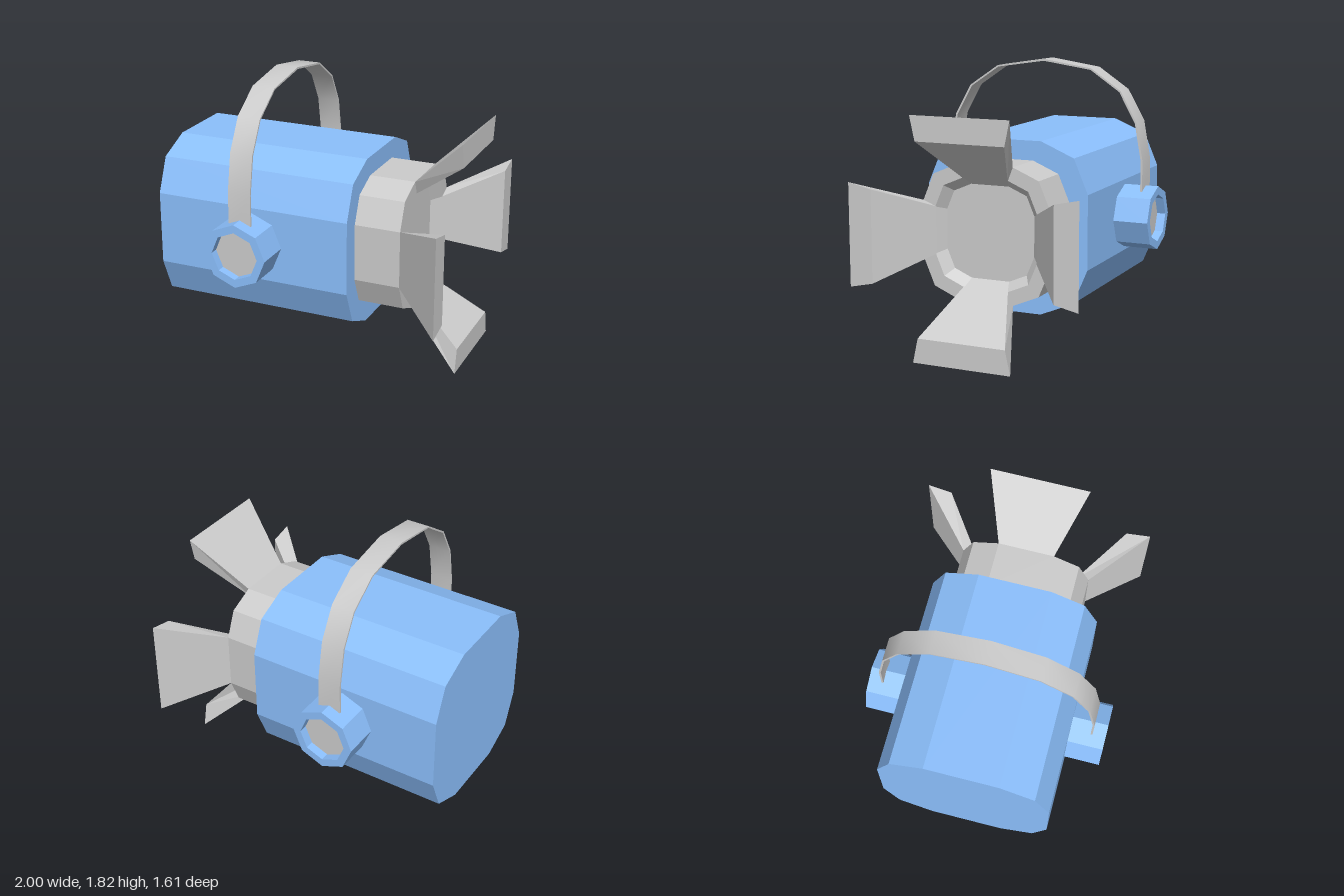
import * as THREE from 'three';
import { toCreasedNormals } from 'three/addons/utils/BufferGeometryUtils.js';

const AXIS_Y = 0.785; // height of the lamp's axis
const blue = new THREE.MeshStandardMaterial({ color: 0x8bbffc, flatShading: true });
const grey = new THREE.MeshStandardMaterial({ color: 0xcccccc, flatShading: true });
const smoothGrey = new THREE.MeshStandardMaterial({ color: 0xcccccc });

// Skin a list of equal-length rings; rings run counter-clockwise about the loft direction
function loft(rings, capEnd = true) {
  const pos = [];
  const tri = (a, b, c) => pos.push(...a, ...b, ...c);
  const n = rings[0].length;
  for (let r = 0; r < rings.length - 1; r++) {
    const a = rings[r], b = rings[r + 1];
    for (let i = 0; i < n; i++) {
      const j = (i + 1) % n;
      tri(a[i], a[j], b[j]);
      tri(a[i], b[j], b[i]);
    }
  }
  const first = rings[0], last = rings[rings.length - 1];
  for (let i = 1; i < n - 1; i++) {
    tri(first[0], first[i + 1], first[i]);
    if (capEnd) tri(last[0], last[i], last[i + 1]);
  }
  const g = new THREE.BufferGeometry();
  g.setAttribute('position', new THREE.Float32BufferAttribute(pos, 3));
  g.computeVertexNormals();
  return g;
}

// Twelve-sided bevelled square of half-width h, in the plane at x
function bevelRing(x, h) {
  const side = [[1, -0.43], [1, 0.43], [0.83, 0.83]];
  const ring = [];
  for (let q = 0; q < 4; q++) {
    const c = [1, 0, -1, 0][q], s = [0, 1, 0, -1][q];
    for (const [y, z] of side) ring.push([x, h * (y * c - z * s), h * (y * s + z * c)]);
  }
  return ring;
}

// Octagon of radius r, in the plane at z
function octagon(z, r) {
  return Array.from({ length: 8 }, (_, i) => {
    const a = (i * Math.PI) / 4;
    return [r * Math.cos(a), r * Math.sin(a), z];
  });
}

function add(parent, name, geometry, material) {
  const mesh = new THREE.Mesh(geometry, material);
  mesh.name = name;
  parent.add(mesh);
  return mesh;
}

export function createModel() {
  const model = new THREE.Group();
  model.name = 'stageLight';

  // Lamp housing and neck with a recessed lens
  const lamp = new THREE.Group();
  lamp.name = 'lamp';
  lamp.position.y = AXIS_Y;
  model.add(lamp);
  add(lamp, 'housing', loft([bevelRing(-1, 0.567), bevelRing(0.342, 0.567)]), blue);
  add(lamp, 'neckAndLens', loft([
    bevelRing(0.33, 0.44), bevelRing(0.648, 0.44), bevelRing(0.648, 0.355), bevelRing(0.58, 0.305),
  ]), grey);

  // Four flared shutters around the neck
  const shutterRing = (x, ri, wi, ro, wo) => [[x, ri, -wi], [x, ro, -wo], [x, ro, wo], [x, ri, wi]];
  const shutter = loft([
    shutterRing(0.648, 0.35, 0.155, 0.44, 0.19),
    shutterRing(1, 0.617, 0.30, 0.777, 0.335),
  ]);
  ['topShutter', 'leftShutter', 'bottomShutter', 'rightShutter'].forEach((name, i) => {
    add(lamp, name, shutter, grey).rotation.x = (i * Math.PI) / 2;
  });

  // Pivot knobs with sunken grey discs on both sides
  const knobGeo = loft([octagon(0.55, 0.215), octagon(0.803, 0.215), octagon(0.803, 0.16), octagon(0.745, 0.16)], false);
  const discGeo = new THREE.CircleGeometry(0.16, 8).translate(0, 0, 0.745);
  for (const [name, turn] of [['frontKnob', 0], ['rearKnob', Math.PI]]) {
    const knob = new THREE.Group();
    knob.name = name;
    knob.position.set(-0.33, 0.782, 0);
    knob.rotation.y = turn;
    add(knob, 'knobRim', knobGeo, blue);
    add(knob, 'knobDisc', discGeo, grey);
    model.add(knob);
  }

  // Arched carrying strap
  const outer = [[0.716, 0.9], [0.716, 1.17], [0.67, 1.425], [0.555, 1.63], [0.345, 1.772], [0, 1.825]];
  const inner = [[0.703, 0.9], [0.703, 1.17], [0.658, 1.42], [0.546, 1.622], [0.34, 1.762], [0, 1.812]];
  const arch = (half) => [...half, ...half.slice(0, -1).reverse().map(([z, y]) => [-z, y])];
  const outline = [...arch(outer), ...arch(inner).reverse()].map(([z, y]) => new THREE.Vector2(z, y));
  const strap = new THREE.ExtrudeGeometry(new THREE.Shape(outline), { depth: 0.155, bevelEnabled: false });
  strap.rotateY(Math.PI / 2).translate(-0.408, 0, 0);
  add(model, 'handle', toCreasedNormals(strap, Math.PI / 4), smoothGrey);

  return model;
}
